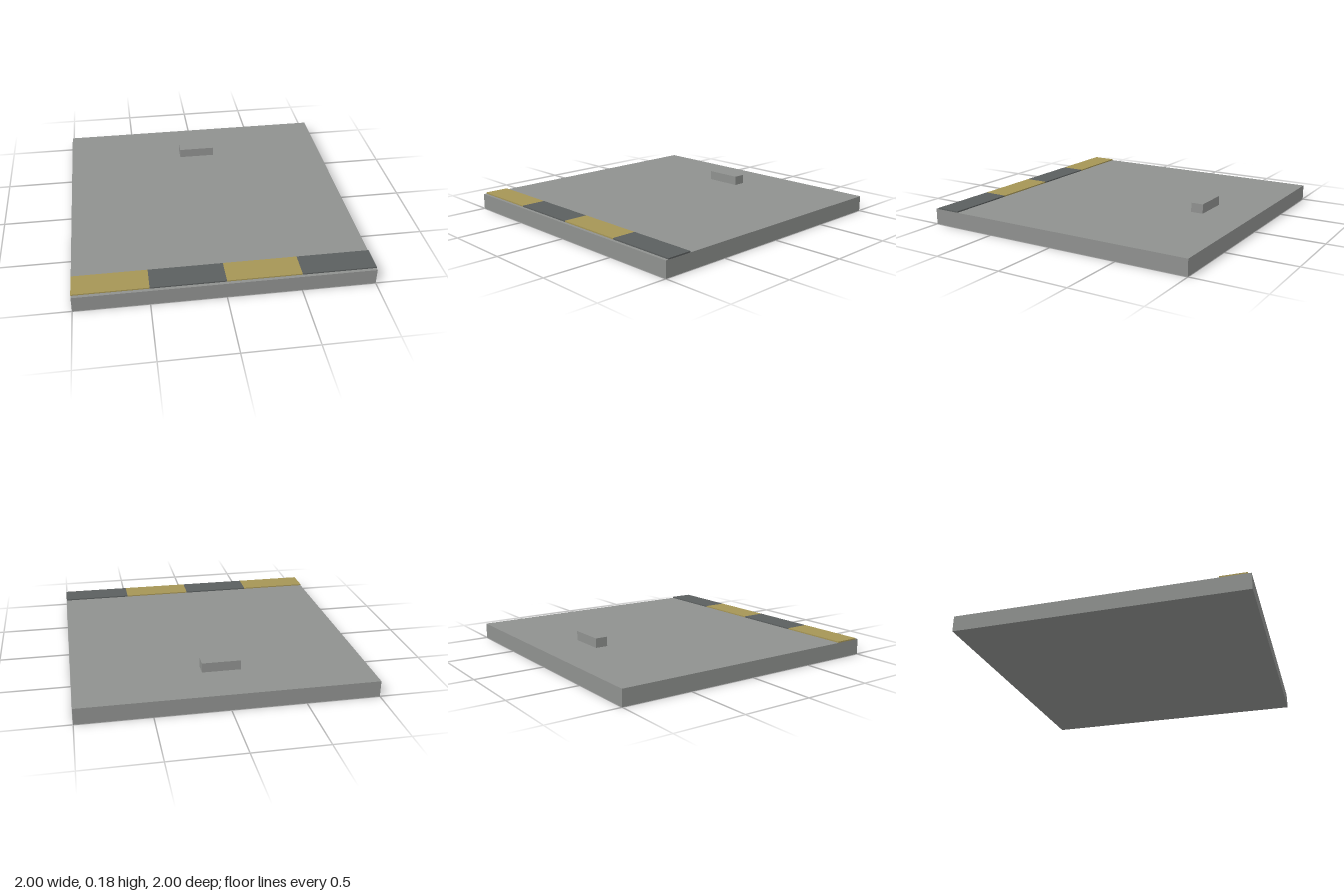
import * as THREE from 'three';

export function createModel() {
  const group = new THREE.Group();
  const material = (name, color) => {
    const m = new THREE.MeshStandardMaterial({ color });
    m.name = name;
    return m;
  };
  const concrete = material('concrete grey', 0x8f918f);
  const yellow = material('faded yellow', 0xa59556);
  const dark = material('dark grey', 0x5b5f5f);

  // Box given by its minimum and maximum corners
  const box = (name, mat, [x0, y0, z0], [x1, y1, z1]) => {
    const mesh = new THREE.Mesh(new THREE.BoxGeometry(x1 - x0, y1 - y0, z1 - z0), mat);
    mesh.position.set((x0 + x1) / 2, (y0 + y1) / 2, (z0 + z1) / 2);
    mesh.name = name;
    group.add(mesh);
  };

  // Floor slab
  const top = 0.112;
  box('slab', concrete, [-1, 0, -1], [1, top, 1]);

  // Raised stop block near the back
  box('stopBlock', concrete, [-0.133, top, -0.667], [0.133, 0.179, -0.578]);

  // Alternating warning stripes along the front edge
  for (let i = 0; i < 4; i++) {
    const x = -1 + i * 0.5;
    box(`warningStripe${i + 1}`, i % 2 ? dark : yellow, [x, top, 0.8], [x + 0.5, top + 0.009, 0.978]);
  }
  return group;
}
